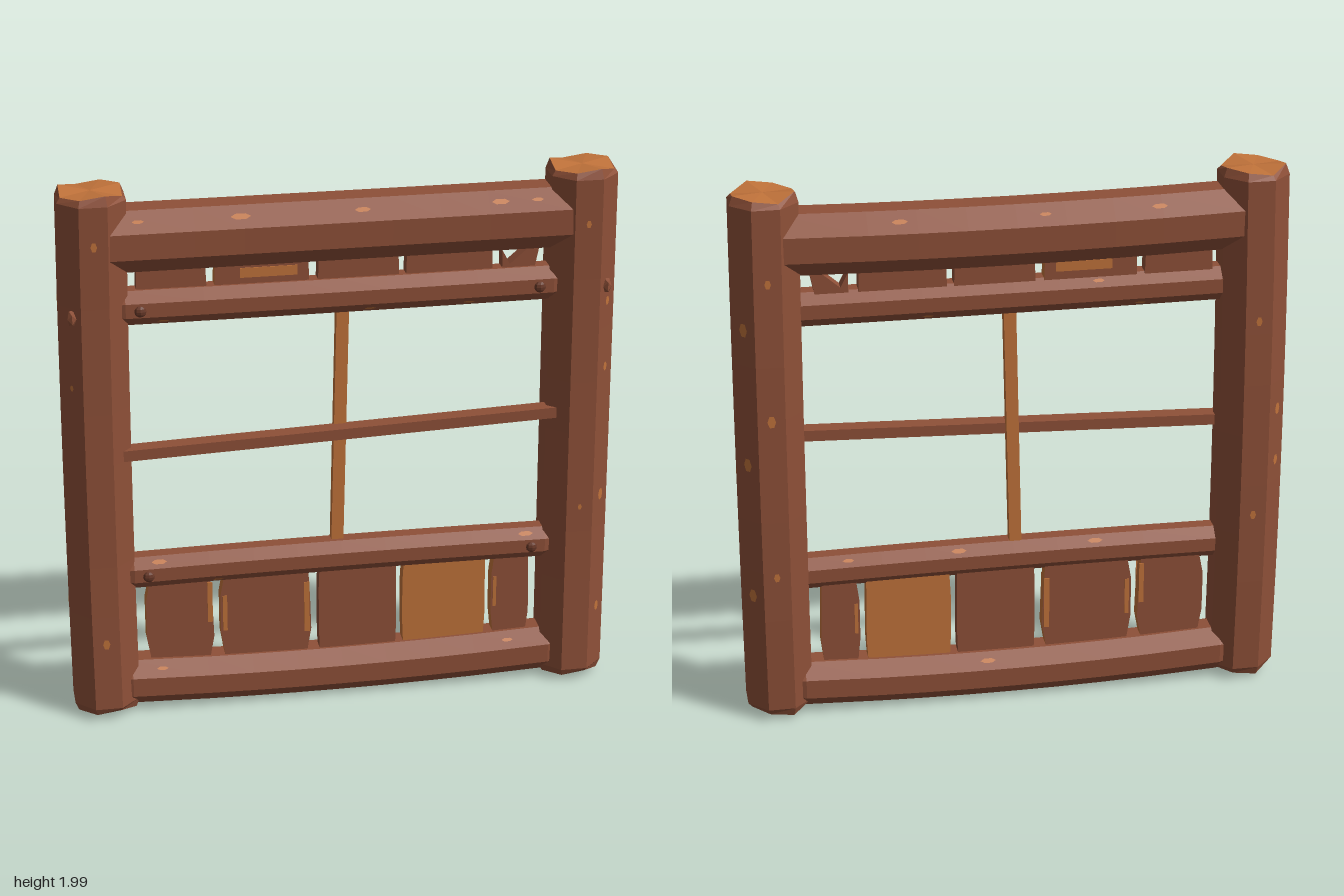
import * as THREE from 'three';

const mat = (name, color, extra = {}) => {
  const m = new THREE.MeshStandardMaterial({ color, flatShading: true, ...extra });
  m.name = name;
  return m;
};

export function createModel() {
  const model = new THREE.Group();
  model.name = 'logWindowFrame';
  const bark = mat('bark', 0x8e5038);
  const cut = mat('cutWood', 0xc0723a);
  const iron = mat('darkNail', 0x6a3a29);

  const add = (name, geometry, material, x = 0, y = 0, z = 0) => {
    const mesh = new THREE.Mesh(geometry, material);
    mesh.name = name;
    mesh.position.set(x, y, z);
    model.add(mesh);
    return mesh;
  };

  // Eight-sided log along y or x: rows bend with bow(t), t from -1 to 1, and the ends are chamfered
  function logGeometry(length, apothem, axis, bow, chamfer, rough = 0) {
    const rows = 10;
    const g = new THREE.CylinderGeometry(1, 1, 1, 8, rows, false, Math.PI / 8);
    const p = g.attributes.position;
    const R = apothem / Math.cos(Math.PI / 8);
    for (let i = 0; i < p.count; i++) {
      const row = Math.round((p.getY(i) + 0.5) * rows);
      const end = row === 0 || row === rows;
      let t = -1 + 2 * row / rows;
      if (row === 1) t = -1 + 2 * chamfer / length;
      if (row === rows - 1) t = 1 - 2 * chamfer / length;
      const a = Math.atan2(p.getX(i), p.getZ(i));
      const radial = Math.hypot(p.getX(i), p.getZ(i));
      const r = R * (end ? 1 - Math.min(chamfer, 0.03) * 0.5 / apothem : 1);
      const u = p.getX(i) * r, w = p.getZ(i) * r;
      const along = t * length / 2 + (end ? rough * radial * Math.sin(a * 3 + 1) : 0);
      const b = bow(t);
      if (axis === 'y') p.setXYZ(i, u + b[0], along, w + b[1]);
      else p.setXYZ(i, along, -u + b[0], w + b[1]);
    }
    g.computeVertexNormals();
    return g;
  }

  // Small flat chip showing bare wood
  function chip(x, y, z, w, h, nx, ny, nz) {
    const m = add('bareWoodChip', new THREE.CircleGeometry(0.5, 6), cut, x, y, z);
    m.lookAt(x + nx, y + ny, z + nz);
    m.scale.set(w, h, 1);
  }

  // Posts
  const postR = 0.117;
  const postBow = s => t => [s * (0.005 - 0.006 * t - 0.005 * t * t), -0.009 + 0.016 * t * t - 0.001 * t];
  const posts = [
    { name: 'rightPost', s: -1, chips: [[1.82, 0, .03], [1.3, 7, .02], [0.32, 0, .035], [1.6, 6, .04], [0.9, 5, .035], [0.45, 6, .04], [1.45, 4, .03], [0.7, 4, .03], [1.1, 5, .04]] },
    { name: 'leftPost', s: 1, chips: [[1.8, 0, .025], [0.72, 0, .02], [0.3, 1, .035], [1.5, 1, .03], [0.97, 2, .03], [1.53, 3, .045], [1.03, 3, .045], [0.52, 3, .045], [0.75, 1, .04], [1.25, 1, .03], [0.6, 4, .03], [1.7, 4, .03], [1.2, 4, .04]] }
  ];
  for (const { name, s, chips } of posts) {
    const bow = postBow(s);
    add(name, logGeometry(1.95, postR, 'y', bow, 0.025, 0.012), [bark, cut, bark], s * 0.857, 1.01, 0);
    for (const [y, k, size] of chips) {
      const a = k * Math.PI / 4, b = bow((y - 1.01) / 0.975);
      const d = postR + 0.003;
      chip(s * 0.857 + b[0] + Math.sin(a) * d, y, b[1] + Math.cos(a) * d, size * 0.75, size * 1.2, Math.sin(a), 0, Math.cos(a));
    }
    const knot = add('postKnot', new THREE.IcosahedronGeometry(0.022, 0), bark, s * 0.935, 1.56, 0.085);
    knot.scale.set(0.8, 1.4, 1.2);
  }

  // Rails: name, height, z, apothem, half length, vertical bow, depth bow, chips as [x, side, size]
  const rails = [
    ['topRail', 1.803, -0.004, 0.11, 0.85, 0.007, 0.018, [[-0.35, 1, .05], [0.07, 1, .04], [0.55, 1, .045], [-0.7, 1, .03], [0.68, 1, .03], [-0.1, 3, .03], [0.4, 3, .04], [-0.5, 3, .04]]],
    ['upperRail', 1.563, 0.008, 0.062, 0.8, 0.002, 0, [[-0.62, -1, .03], [0.1, -1, .03], [0.45, -1, .03], [-0.3, 3, .03], [0.3, 5, .03], [-0.45, 5, .03]]],
    ['lowerRail', 0.56, 0.008, 0.06, 0.8, -0.006, 0, [[-0.66, 1, .04], [0.68, 1, .04], [-0.45, -1, .03], [0.2, 3, .04], [-0.3, 3, .04], [0.6, 3, .03]]],
    ['bottomRail', 0.098, 0, 0.087, 0.82, 0.022, 0.004, [[-0.66, 1, .03], [0.62, 1, .03], [0.1, 3, .04]]]
  ];
  for (const [name, y, z, r, half, by, bz, chips] of rails) {
    const bow = t => [by * t * t, bz * (t * t - 0.5)];
    add(name, logGeometry(half * 2, r, 'x', bow, 0.05), bark, 0, y, z);
    for (const [x, k, size] of chips) {
      const a = k * Math.PI / 4, b = bow(x / half), d = r + 0.003;
      chip(x, y + b[0] + Math.sin(a) * d, z + b[1] + Math.cos(a) * d, size * 1.4, size * 0.5, 0, Math.sin(a), Math.cos(a));
    }
  }

  // Nails in the two middle rails
  for (const x of [-0.7, 0.7]) for (const y of [1.563, 0.553]) {
    const nail = add('nail', new THREE.SphereGeometry(0.021, 8, 6), iron, x, y, 0.07);
    nail.scale.z = 0.6;
  }

  // Crossed window bars
  const upright = add('uprightBar', new THREE.BoxGeometry(0.044, 0.96, 0.036), cut, 0, 1.06, 0);
  upright.rotation.z = -0.022;
  const crossbar = add('crossBar', new THREE.BoxGeometry(1.55, 0.04, 0.06), bark, 0, 1.053, 0.04);
  crossbar.rotation.z = 0.034;

  // Planks with worn edges
  const depth = 0.05;
  function plank(name, points, face, edge) {
    const shape = new THREE.Shape(points.map(p => new THREE.Vector2(...p)));
    const g = new THREE.ExtrudeGeometry(shape, { depth, bevelEnabled: false });
    add(name, g, [face, edge], 0, 0, -depth / 2);
  }
  const flake = (x, y, w, h) => {
    for (const s of [-1, 1]) add('wornPatch', new THREE.BoxGeometry(w, h, 0.004), cut, x, y, s * (depth / 2 + 0.001));
  };
  const spans = [[-0.71, -0.465], [-0.44, -0.108], [-0.08, 0.208], [0.23, 0.54], [0.563, 0.705]];
  const wear = [0.022, 0.02, 0.004, 0.006, 0.014];
  spans.forEach(([a, b], i) => {
    const w = wear[i];
    plank('lowerPlank', [[a + w, 0.15], [b - w, 0.15], [b, 0.27], [b - w * 0.2, 0.4], [b - w * 0.6, 0.54],
      [a + w, 0.54], [a, 0.43], [a, 0.28]], i === 3 ? cut : bark, i === 2 ? bark : cut);
    if (i === 4) plank('notchedPlank', [[a + 0.01, 1.6], [b - 0.02, 1.6], [b, 1.7], [0.66, 1.69], [0.6, 1.638], [a + 0.01, 1.69]], bark, bark);
    else plank('upperPlank', [[a, 1.58], [b, 1.58], [b - 0.005, 1.73], [a + 0.005, 1.73]], bark, i === 1 ? cut : bark);
  });
  flake(-0.478, 0.41, 0.018, 0.16);
  flake(-0.424, 0.36, 0.016, 0.14);
  flake(-0.124, 0.36, 0.02, 0.2);
  flake(0.576, 0.36, 0.012, 0.12);
  flake(-0.25, 1.665, 0.2, 0.035);

  return model;
}
